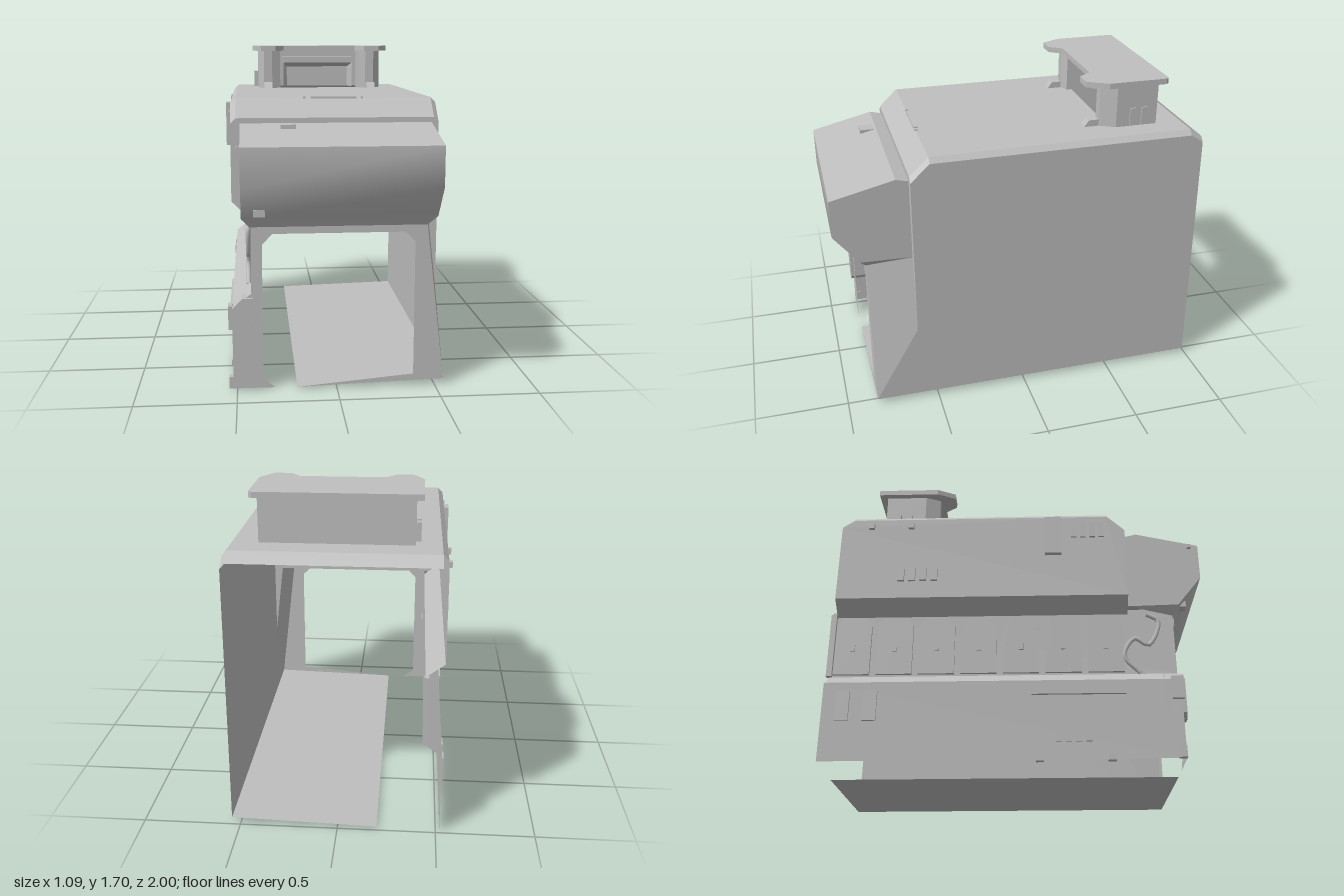
import * as THREE from 'three';

export function createModel() {
  const g = new THREE.Group();
  const grey = new THREE.MeshStandardMaterial({ color: 0xbfbfbf, side: THREE.DoubleSide });
  grey.name = 'plainGrey';

  const add = (name, geo) => {
    const m = new THREE.Mesh(geo, grey);
    m.name = name;
    g.add(m);
    return m;
  };
  const box = (name, x0, x1, y0, y1, z0, z1) => {
    const m = add(name, new THREE.BoxGeometry(x1 - x0, y1 - y0, z1 - z0));
    m.position.set((x0 + x1) / 2, (y0 + y1) / 2, (z0 + z1) / 2);
    return m;
  };
  // Convex flat plate from its corners
  const plate = (name, pts) => {
    const v = [];
    for (let i = 1; i < pts.length - 1; i++) v.push(...pts[0], ...pts[i], ...pts[i + 1]);
    const geo = new THREE.BufferGeometry();
    geo.setAttribute('position', new THREE.Float32BufferAttribute(v, 3));
    geo.computeVertexNormals();
    return add(name, geo);
  };
  const shape = (pts) => new THREE.Shape(pts.map(([a, b]) => new THREE.Vector2(a, b)));
  // Plate in the side plane, outline given as [z, y]
  const sidePlate = (name, x, pts) => {
    const geo = new THREE.ShapeGeometry(shape(pts.map(([z, y]) => [-z, y])));
    geo.rotateY(Math.PI / 2);
    add(name, geo).position.x = x;
  };
  // Strip along z between two [x, y] points
  const strip = (name, a, b, z0, z1) =>
    plate(name, [[...a, z0], [...b, z0], [...b, z1], [...a, z1]]);

  // Roof with an opening below the turret
  const roof = shape([[-0.493, -0.5], [0.52, -0.5], [0.52, 0.9], [-0.493, 0.9]]);
  roof.holes.push(new THREE.Path([[-0.25, 0.5], [-0.25, 0.74], [0.28, 0.74], [0.28, 0.5]]
    .map(([x, y]) => new THREE.Vector2(x, y))));
  const roofGeo = new THREE.ShapeGeometry(roof);
  roofGeo.rotateX(-Math.PI / 2);
  add('roof', roofGeo).position.y = 1.44;

  // Chamfers round the roof, path points are [z, y]
  const edge = [[-0.967, 1.395], [-0.9, 1.44], [0.5, 1.44], [0.6, 1.345]];
  for (let i = 0; i < 3; i++) {
    const [[za, ya], [zb, yb]] = [edge[i], edge[i + 1]];
    if (i !== 1) plate('roofSlope', [[-0.493, ya, za], [0.52, ya, za], [0.52, yb, zb], [-0.493, yb, zb]]);
    for (const [xi, xo] of [[0.52, 0.545], [-0.493, -0.52]])
      plate('roofChamfer', [[xi, ya, za], [xo, ya - 0.027, za], [xo, yb - 0.027, zb], [xi, yb, zb]]);
  }
  const sideTop = edge.map(([z, y]) => [z, y - 0.027]);

  // Side walls and floor
  sidePlate('leftWall', 0.545, [...sideTop, [0.6, 0.45], [0.84, 0.03], [-0.985, 0.03]]);
  sidePlate('rightUpperWall', -0.52, [...sideTop, [0.6, 0.92], [-0.97, 0.92]]);
  strip('rightOverhang', [-0.52, 0.92], [-0.425, 0.85], -0.97, 0.6);
  strip('rightMiddleWall', [-0.425, 0.88], [-0.425, 0.5], -0.995, 0.84);
  strip('rightLedge', [-0.425, 0.5], [-0.52, 0.43], -0.985, 0.84);
  strip('rightLowerWall', [-0.52, 0.43], [-0.52, 0.01], -0.985, 0.84);
  strip('floor', [0.545, 0.03], [-0.2, 0.01], -0.985, 0.84);

  // Front bulkhead behind the nose
  plate('frontBulkhead', [[0.495, 0.87, 0.6], [0.545, 0.45, 0.6], [0.545, 1.318, 0.6], [0.52, 1.345, 0.6],
    [-0.493, 1.345, 0.6], [-0.52, 1.318, 0.6], [-0.52, 0.92, 0.6], [-0.47, 0.87, 0.6]]);

  // Doorway frame at the front
  add('doorFrame', new THREE.ShapeGeometry(shape([
    [-0.425, 0.835], [0.45, 0.835], [0.545, 0.03], [-0.2, 0.008], [0.39, 0.06], [0.39, 0.75], [0.34, 0.8],
    [-0.32, 0.8], [-0.37, 0.745], [-0.37, 0.06], [-0.31, 0.01], [-0.52, 0.01], [-0.52, 0.43], [-0.425, 0.5],
  ]))).position.z = 0.84;
  plate('frameSideUpper', [[0.45, 0.835, 0.84], [0.545, 0.45, 0.6], [0.495, 0.87, 0.6]]);
  plate('frameSideLower', [[0.45, 0.835, 0.84], [0.545, 0.03, 0.84], [0.545, 0.45, 0.6]]);

  // Nose: side outline as [z, y], rounded front skin
  const nose = [[0.6, 1.31], [0.665, 1.325], [1, 1.245], [1, 1.045], [0.87, 0.882], [0.6, 0.875]];
  const [nx0, nx1] = [-0.47, 0.495];
  sidePlate('noseLeftCheek', nx1, nose);
  sidePlate('noseRightCheek', nx0, nose);
  for (const i of [0, 1, 4]) {
    const [[za, ya], [zb, yb]] = [nose[i], nose[i + 1]];
    plate('nosePanel', [[nx0, ya, za], [nx0, yb, zb], [nx1, yb, zb], [nx1, ya, za]]);
  }
  const skin = new THREE.PlaneGeometry(nx1 - nx0, 1, 1, 2);
  for (let i = 0; i < 6; i++) {
    const [z, y] = nose[2 + Math.floor(i / 2)];
    skin.attributes.position.setXYZ(i, i % 2 ? nx1 : nx0, y, z);
  }
  skin.computeVertexNormals();
  add('noseFront', skin);
  // Lip under the nose
  plate('noseLip', [[nx0, 0.882, 0.87], [-0.43, 0.835, 0.84], [0.45, 0.835, 0.84], [nx1, 0.882, 0.87]]);
  for (const [xo, xi] of [[nx1, 0.45], [nx0, -0.43]])
    plate('lipEnd', [[xo, 0.875, 0.6], [xi, 0.835, 0.84], [xo, 0.882, 0.87]]);
  box('noseTopBlock', -0.27, -0.195, 1.3, 1.325, 0.68, 0.755);
  box('noseLowerBlock', -0.41, -0.355, 0.9, 0.935, 0.885, 0.92);
  box('noseStud', -0.49, -0.47, 1.225, 1.245, 0.94, 0.96);

  // Roof rail
  box('roofRail', -0.105, 0.13, 1.428, 1.446, 0.48, 0.505);
  for (const x of [-0.14, 0.16]) box('railEnd', x - 0.006, x + 0.006, 1.43, 1.445, 0.485, 0.505);

  // Turret top plate, outline as [x, -z]
  const cap = new THREE.ExtrudeGeometry(shape([
    [-0.4, 0.8], [0.415, 0.8], [0.43, 0.785], [0.43, 0.47], [0.37, 0.36], [0.28, 0.36], [0.23, 0.43],
    [-0.21, 0.43], [-0.26, 0.36], [-0.35, 0.36], [-0.4, 0.46],
  ]), { depth: 0.03, bevelEnabled: false });
  cap.rotateX(-Math.PI / 2);
  add('turretCap', cap).position.y = 1.668;

  // Turret walls follow a folded path of [x, z]
  const path = [[0.255, -0.62], [0.255, -0.47], [0.3, -0.45], [0.35, -0.45], [0.395, -0.53], [0.395, -0.757],
    [-0.365, -0.757], [-0.365, -0.53], [-0.33, -0.45], [-0.28, -0.45], [-0.23, -0.47], [-0.23, -0.62]];
  for (let i = 0; i < path.length - 1; i++) {
    const [[xa, za], [xb, zb]] = [path[i], path[i + 1]];
    plate('turretWall', [[xa, 1.44, za], [xb, 1.44, zb], [xb, 1.668, zb], [xa, 1.668, za]]);
  }
  // Recessed window inside the turret
  box('windowHeader', -0.21, 0.235, 1.59, 1.63, -0.68, -0.62);
  const rim = [[-0.205, 1.44], [-0.205, 1.592], [0.235, 1.592], [0.235, 1.44]];
  const inner = [[-0.18, 1.44], [-0.18, 1.565], [0.21, 1.565], [0.21, 1.44]];
  for (let i = 0; i < 3; i++)
    plate('windowRim', [[...rim[i], -0.62], [...rim[i + 1], -0.62], [...inner[i + 1], -0.7], [...inner[i], -0.7]]);
  plate('windowPanel', inner.map((p) => [...p, -0.7]));
  // Feet and side vents of the turret
  for (const x of [-0.305, 0.325]) {
    sidePlate('footSide', x + 0.025, [[-0.37, 1.44], [-0.395, 1.475], [-0.45, 1.475], [-0.45, 1.44]]);
    sidePlate('footSide', x - 0.025, [[-0.37, 1.44], [-0.395, 1.475], [-0.45, 1.475], [-0.45, 1.44]]);
    plate('footTop', [[x - 0.025, 1.475, -0.45], [x + 0.025, 1.475, -0.45], [x + 0.025, 1.475, -0.395], [x - 0.025, 1.475, -0.395]]);
    plate('footFront', [[x - 0.025, 1.475, -0.395], [x + 0.025, 1.475, -0.395], [x + 0.025, 1.44, -0.37], [x - 0.025, 1.44, -0.37]]);
  }
  for (const z of [-0.62, -0.685]) {
    box('turretVent', 0.39, 0.402, 1.445, 1.54, z - 0.016, z + 0.016);
    box('turretVent', -0.39, -0.36, 1.445, 1.54, z - 0.016, z + 0.016);
  }

  // Row of arched doors along the right side
  const arch = shape([[-0.095, 0.51], [0.095, 0.51], [0.095, 0.79], [0.06, 0.84], [-0.06, 0.84], [-0.095, 0.79]]);
  for (let i = 0; i < 7; i++) {
    const geo = new THREE.ExtrudeGeometry(arch, { depth: 0.015, bevelEnabled: false });
    geo.rotateY(-Math.PI / 2);
    const z = -0.87 + i * 0.224;
    add('sideDoor', geo).position.set(-0.425, 0, z);
    box('doorHandle', -0.447, -0.44, 0.64, 0.68, z - 0.012, z + 0.012);
  }
  box('rearPost', -0.445, -0.42, 0.5, 0.86, -1, -0.97);

  // Fittings on the upper right wall
  box('sidePanelBox', -0.548, -0.52, 1.17, 1.4, 0.16, 0.25);
  for (let i = 0; i < 4; i++) {
    box('upperVent', -0.532, -0.52, 1.28, 1.37, 0.305 + i * 0.05, 0.335 + i * 0.05);
    box('rearVent', -0.535, -0.52, 1.02, 1.09, -0.64 + i * 0.06, -0.605 + i * 0.06);
  }
  for (const z of [-0.8, -0.58]) box('wallStud', -0.54, -0.52, 1.35, 1.38, z - 0.015, z + 0.015);

  // Fittings on the lower right wall
  box('lowerRail', -0.535, -0.52, 0.35, 0.37, 0.08, 0.56);
  for (const z of [-0.88, -0.74]) box('lowerLatch', -0.53, -0.52, 0.22, 0.38, z - 0.035, z + 0.035);
  for (let i = 0; i < 4; i++) box('lowerVent', -0.53, -0.52, 0.1, 0.14, 0.2 + i * 0.05, 0.23 + i * 0.05);
  for (const z of [0.12, 0.475]) box('wallFoot', -0.535, -0.505, 0, 0.03, z - 0.02, z + 0.02);
  box('cornerFoot', -0.54, -0.515, 0.01, 0.07, 0.8, 0.84);

  // Front corner box and hose
  const corner = new THREE.ExtrudeGeometry(shape([[-0.52, 0.25], [-0.495, 0.22], [-0.445, 0.22], [-0.42, 0.25],
    [-0.42, 0.48], [-0.47, 0.48], [-0.52, 0.43]]), { depth: 0.1, bevelEnabled: false });
  add('frontCornerBox', corner).position.z = 0.76;
  box('cornerBoxClip', -0.54, -0.52, 0.32, 0.44, 0.79, 0.85);
  const hose = new THREE.CatmullRomCurve3([[0.84, 0.7], [0.8, 0.76], [0.66, 0.7], [0.7, 0.63], [0.6, 0.57], [0.5, 0.65]]
    .map(([y, z]) => new THREE.Vector3(-0.437, y, z)));
  add('sideHose', new THREE.TubeGeometry(hose, 20, 0.012, 6));
  box('frameClip', -0.4, -0.385, 0.79, 0.835, 0.835, 0.85);

  return g;
}
